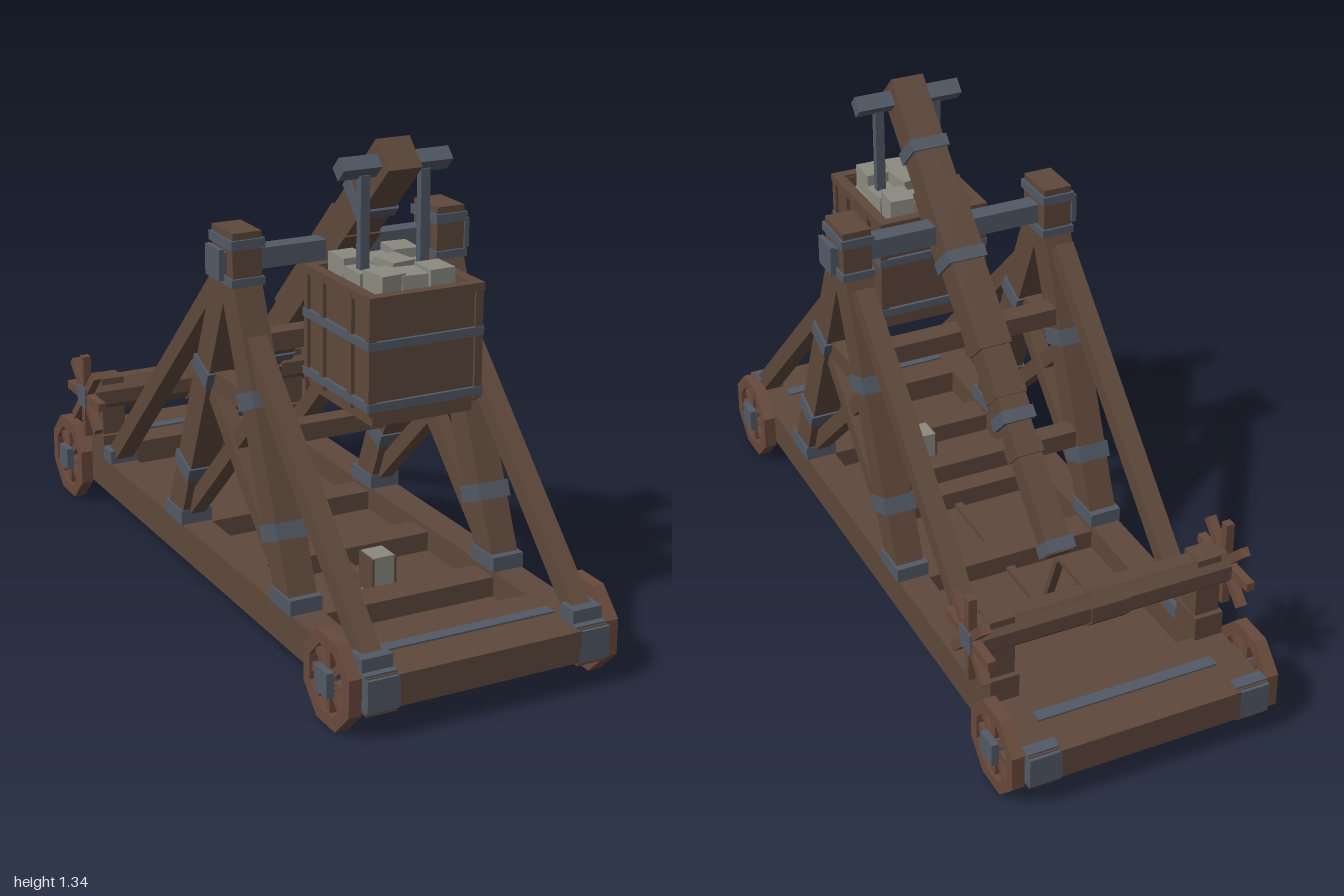
import * as THREE from 'three';

export function createModel() {
  const root = new THREE.Group();
  root.name = 'siegeEngine';
  const mat = (name, color) => {
    const m = new THREE.MeshStandardMaterial({ color });
    m.name = name;
    return m;
  };
  const wood = mat('wood', 0x5e483b);
  const wheelWood = mat('wheelWood', 0x68493b);
  const iron = mat('iron', 0x525965);
  const stone = mat('stone', 0x8b8a80);

  const add = (name, geo, m, x, y, z, parent = root) => {
    const mesh = new THREE.Mesh(geo, m);
    mesh.name = name;
    mesh.position.set(x, y, z);
    parent.add(mesh);
    return mesh;
  };
  const box = (name, m, w, h, d, x, y, z, parent) =>
    add(name, new THREE.BoxGeometry(w, h, d), m, x, y, z, parent);
  // Beam in a plane of constant x, from a = [y, z] to b = [y, z]
  const beam = (name, m, x, a, b, w, t) => {
    const dy = b[0] - a[0], dz = b[1] - a[1];
    const mesh = box(name, m, w, Math.hypot(dy, dz), t, x, (a[0] + b[0]) / 2, (a[1] + b[1]) / 2);
    mesh.rotation.x = Math.atan2(dz, dy);
    return mesh;
  };
  // Iron band round a sloping beam, centred at c = [y, z], along direction [dy, dz]
  const band = (x, c, dir, w, t, len = 0.045) => {
    const k = len / 2 / Math.hypot(dir[0], dir[1]);
    beam('ironBand', iron, x, [c[0] - dir[0] * k, c[1] - dir[1] * k],
      [c[0] + dir[0] * k, c[1] + dir[1] * k], w, t);
  };

  // Base
  box('floor', wood, 0.52, 0.025, 1.96, 0, 0.0875, 0);
  for (const e of [-1, 1]) {
    box('endBeam', wood, 0.52, 0.085, 0.25, 0, 0.1275, e * 0.875);
    box('endBeamStrap', iron, 0.52, 0.01, 0.035, 0, 0.17, e * 0.86);
  }
  for (const z of [-0.145, 0.2, 0.545]) box('floorBeam', wood, 0.52, 0.06, 0.09, 0, 0.125, z);

  // Wheel: eight-sided rim with a matching hole
  const octagon = (S, r) => {
    const s = new S();
    for (let i = 0; i < 8; i++) {
      const a = (i + 0.5) * Math.PI / 4;
      s[i ? 'lineTo' : 'moveTo'](r * Math.cos(a), r * Math.sin(a));
    }
    s.closePath();
    return s;
  };
  const rimShape = octagon(THREE.Shape, 0.128);
  rimShape.holes.push(octagon(THREE.Path, 0.092));
  const rimGeo = new THREE.ExtrudeGeometry(rimShape, { depth: 0.035, bevelEnabled: false });
  rimGeo.translate(0, 0, -0.0175);
  rimGeo.rotateY(Math.PI / 2);
  const spokes = (parent, length, width) => {
    for (let i = 0; i < 4; i++) {
      box('spokes', wheelWood, 0.024, length, width, 0, 0, 0, parent).rotation.x = i * Math.PI / 4;
    }
  };
  const group = (name, x, y, z) => {
    const g = new THREE.Group();
    g.name = name;
    g.position.set(x, y, z);
    root.add(g);
    return g;
  };

  const pivot = 0.2; // z of the main axle
  for (const s of [-1, 1]) {
    const x = s * 0.3;
    box('sideRail', wood, 0.085, 0.1, 1.98, x, 0.12, 0);
    for (const e of [-1, 1]) {
      box('cornerStrap', iron, 0.09, 0.085, 0.03, x, 0.125, e * 0.985);
      box('cornerPlate', iron, 0.09, 0.008, 0.035, x, 0.171, e * 0.967);
      const wheel = group('wheel', s * 0.367, 0.12, e * 0.86);
      add('wheelRim', rimGeo, wheelWood, 0, 0, 0, wheel);
      spokes(wheel, 0.19, 0.022);
      box('wheelHub', iron, 0.064, 0.066, 0.066, 0, 0, 0, wheel);

      // Main legs with bands, feet and crossed braces
      const zAt = y => pivot + e * (1 - y) * 0.415;
      beam('mainLeg', wood, x, [0.17, zAt(0.17)], [1.0, zAt(1.0)], 0.08, 0.085);
      for (const y of [0.35, 0.665]) band(x, [y, zAt(y)], [1, -e * 0.415], 0.094, 0.096);
      box('legFoot', iron, 0.092, 0.042, 0.115, x, 0.19, zAt(0.19));
      beam('crossBrace', wood, x + e * 0.004, [0.2, pivot - e * 0.31], [0.64, pivot + e * 0.15], 0.045, 0.045);
    }
    box('tieBeam', wood, 0.05, 0.055, 0.3, x, 0.645, pivot);

    // Long outer braces
    beam('frontBrace', wood, x, [0.185, 0.925], [0.83, 0.28], 0.055, 0.05);
    box('frontBraceFoot', iron, 0.085, 0.04, 0.06, x, 0.19, 0.935);
    beam('rearBrace', wood, x, [0.18, -0.645], [0.92, 0.11], 0.055, 0.05);
    box('rearBraceFoot', iron, 0.085, 0.04, 0.06, x, 0.19, -0.635);

    // Bearing block on top of the legs
    box('bearingBlock', wood, 0.082, 0.14, 0.125, x, 1.018, pivot);
    box('bearingBandTop', iron, 0.095, 0.025, 0.14, x, 1.057, pivot);
    box('bearingBandBottom', iron, 0.095, 0.022, 0.14, x, 0.957, pivot);
    box('axleCap', iron, 0.014, 0.082, 0.085, s * 0.363, 1.003, pivot);

    // Winch post and hand spokes
    box('winchPost', wood, 0.07, 0.25, 0.07, x, 0.29, -0.715);
    box('winchPostFoot', wood, 0.082, 0.07, 0.1, x, 0.205, -0.715);
    const handle = group('winchHandle', s * 0.372, 0.36, -0.715);
    spokes(handle, 0.25, 0.025);
    box('winchHub', iron, 0.034, 0.062, 0.062, 0, 0, 0, handle);
  }
  const axle = box('mainAxle', iron, 0.72, 0.055, 0.055, 0, 1.003, pivot);
  axle.name = 'mainAxle';
  box('upperCrossBeam', wood, 0.54, 0.052, 0.06, 0, 0.732, 0.085);
  box('lowerCrossBeam', wood, 0.54, 0.052, 0.06, 0, 0.404, -0.05);

  // Winch drum, thicker in the middle
  for (const [r, len] of [[0.054, 0.72], [0.06, 0.11]]) {
    const g = new THREE.CylinderGeometry(r, r, len, 8).toNonIndexed();
    g.rotateY(Math.PI / 8);
    g.rotateZ(Math.PI / 2);
    g.computeVertexNormals();
    add('winchDrum', g, wood, 0, 0.36, -0.715);
  }

  // Throwing arm in three tapering lengths, at 45 degrees through the axle
  const onArm = z => [1.0 + (z - pivot) * 0.985 + 0.008, z];
  const arm = (z0, z1, w, t) => beam('throwingArm', wood, 0, onArm(z0), onArm(z1), w, t);
  arm(0.508, -0.06, 0.096, 0.095);
  arm(-0.06, -0.2, 0.084, 0.082);
  arm(-0.2, -0.475, 0.07, 0.066);
  arm(0.29, 0.13, 0.108, 0.104);
  for (const [z, w, t] of [[0.365, 0.11, 0.108], [0.13, 0.114, 0.11], [-0.2, 0.095, 0.094], [-0.46, 0.082, 0.078]])
    band(0, onArm(z), [1, 1], w, t, 0.035);
  arm(-0.13, -0.16, 0.09, 0.092);
  arm(-0.25, -0.28, 0.08, 0.084);

  // Counterweight pin and hanger rods
  box('hangerPin', iron, 0.31, 0.045, 0.04, 0, 1.28, 0.48).rotation.x = Math.PI / 4;
  for (const s of [-1, 1]) box('hangerRod', iron, 0.026, 0.56, 0.022, s * 0.086, 0.98, 0.483);

  // Counterweight crate
  const cz = 0.483;
  box('crateBottom', wood, 0.285, 0.035, 0.32, 0, 0.677, cz);
  box('crateFloor', wood, 0.3, 0.03, 0.33, 0, 0.705, cz);
  for (const s of [-1, 1]) {
    box('crateSide', wood, 0.022, 0.305, 0.335, s * 0.143, 0.84, cz);
    box('crateEnd', wood, 0.3, 0.305, 0.022, 0, 0.84, cz + s * 0.157);
    box('crateRimSide', wood, 0.03, 0.022, 0.36, s * 0.148, 0.988, cz);
    box('crateRimEnd', wood, 0.325, 0.022, 0.03, 0, 0.988, cz + s * 0.165);
    for (const z of [-0.075, 0.075]) box('crateBatten', wood, 0.012, 0.3, 0.022, s * 0.158, 0.84, cz + z);
    for (const e of [-1, 1]) box('crateCorner', wood, 0.022, 0.29, 0.022, s * 0.151, 0.84, cz + e * 0.164);
    for (const y of [0.715, 0.873]) {
      box('crateBandSide', iron, 0.012, 0.022, 0.35, s * 0.159, y, cz);
      box('crateBandEnd', iron, 0.328, 0.022, 0.012, 0, y, cz + s * 0.172);
    }
  }

  // Stones in the crate: [x, z, top, turn]
  box('stoneFill', stone, 0.26, 0.05, 0.28, 0, 0.94, cz);
  for (const [x, z, top, turn] of [[-0.075, 0.575, 1.035, 0.1], [-0.01, 0.58, 1.03, -0.1], [0.068, 0.575, 1.035, 0],
    [-0.08, 0.48, 1.02, 0], [0.0, 0.49, 1.04, 0.15], [0.08, 0.47, 1.015, 0.1],
    [-0.075, 0.385, 1.035, 0], [0.005, 0.39, 1.02, 0], [0.075, 0.385, 1.04, -0.08]])
    box('crateStone', stone, 0.07, 0.09, 0.085, x, top - 0.045, z).rotation.y = turn;

  // Winch rope, sling rope and loaded stone
  beam('winchRope', wood, 0, [0.335, -0.48], [0.335, -0.7], 0.014, 0.014);
  beam('slingDrop', wood, 0, [0.335, -0.485], [0.11, -0.395], 0.024, 0.016);
  beam('slingRope', wood, 0, [0.108, -0.395], [0.108, 0.4], 0.024, 0.014);
  box('loadedStone', stone, 0.062, 0.112, 0.07, 0, 0.157, 0.422);
  for (const s of [-1, 1]) box('slingPouch', wood, 0.006, 0.1, 0.076, s * 0.033, 0.16, 0.422);

  return root;
}
